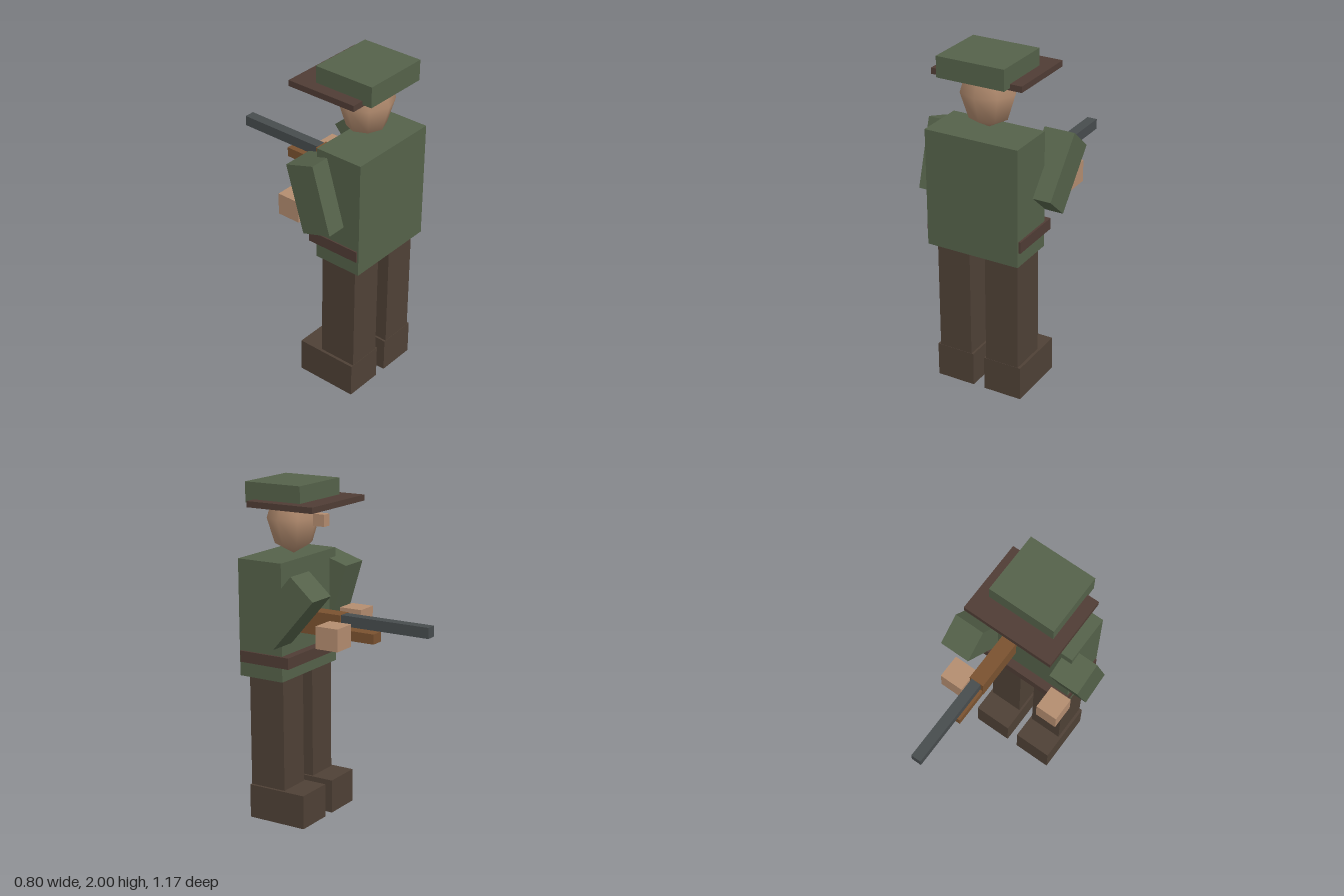
import * as THREE from 'three';

const paint = (name, color) => {
  const m = new THREE.MeshStandardMaterial({ color });
  m.name = name;
  return m;
};

export function createModel() {
  const model = new THREE.Group();
  model.name = 'rangerFigure';

  const green = paint('uniformGreen', 0x55624a);
  const brown = paint('trouserBrown', 0x4f4136);
  const leather = paint('leatherBrown', 0x503d35);
  const skin = paint('skin', 0xb48d70);
  const wood = paint('wood', 0x7a5230);
  const metal = paint('gunMetal', 0x474c4e);

  // Box from its extents along each axis
  const box = (name, mat, [x0, x1], [y0, y1], [z0, z1]) => {
    const mesh = new THREE.Mesh(new THREE.BoxGeometry(x1 - x0, y1 - y0, z1 - z0), mat);
    mesh.position.set((x0 + x1) / 2, (y0 + y1) / 2, (z0 + z1) / 2);
    mesh.name = name;
    model.add(mesh);
    return mesh;
  };

  // Body (the figure looks towards -z)
  box('torso', green, [-0.28, 0.292], [0.877, 1.57], [0.29, 0.585]);
  box('belt', leather, [-0.288, 0.304], [0.963, 1.03], [0.24, 0.575]);

  // Legs and boots, mirrored about the body centre
  const cx = 0.008;
  for (const [side, s] of [['left', 1], ['right', -1]]) {
    const span = (a, b) => [cx + s * a, cx + s * b].sort((p, q) => p - q);
    box(side + 'Leg', brown, span(0.049, 0.255), [0.2, 0.88], [0.305, 0.538]);
    box(side + 'Boot', brown, span(0.036, 0.272), [0, 0.205], [0.162, 0.54]);
  }

  // Head, nose and hat
  const head = new THREE.Mesh(new THREE.SphereGeometry(1, 8, 4), skin);
  head.scale.set(0.163, 0.211, 0.151);
  head.position.set(cx, 1.786, 0.393);
  head.name = 'head';
  model.add(head);
  box('nose', skin, [-0.02, 0.035], [1.75, 1.82], [0.165, 0.242]);
  box('hatBrim', leather, [-0.268, 0.284], [1.867, 1.902], [0.083, 0.523]);
  box('hatCrown', green, [-0.197, 0.213], [1.88, 2], [0.21, 0.582]);

  // Arms tilted forward at the top
  const arm = (name, x, y, z, tilt) => {
    const mesh = new THREE.Mesh(new THREE.BoxGeometry(0.186, 0.407, 0.192), green);
    mesh.position.set(x, y, z);
    mesh.rotation.x = tilt;
    mesh.name = name;
    model.add(mesh);
  };
  arm('leftArm', 0.307, 1.313, 0.214, -0.72);
  arm('rightArm', -0.307, 1.315, 0.328, -0.3);
  box('leftHand', skin, [0.181, 0.325], [1.12, 1.25], [-0.104, 0.039]);
  box('rightHand', skin, [-0.345, -0.212], [1.098, 1.228], [0.07, 0.215]);

  // Long gun
  box('gunStock', wood, [0.086, 0.178], [1.155, 1.29], [-0.028, 0.3]);
  box('gunForeEnd', wood, [0.09, 0.174], [1.15, 1.208], [-0.245, 0.1]);
  box('gunBarrel', metal, [0.102, 0.164], [1.227, 1.289], [-0.585, -0.02]);

  return model;
}
